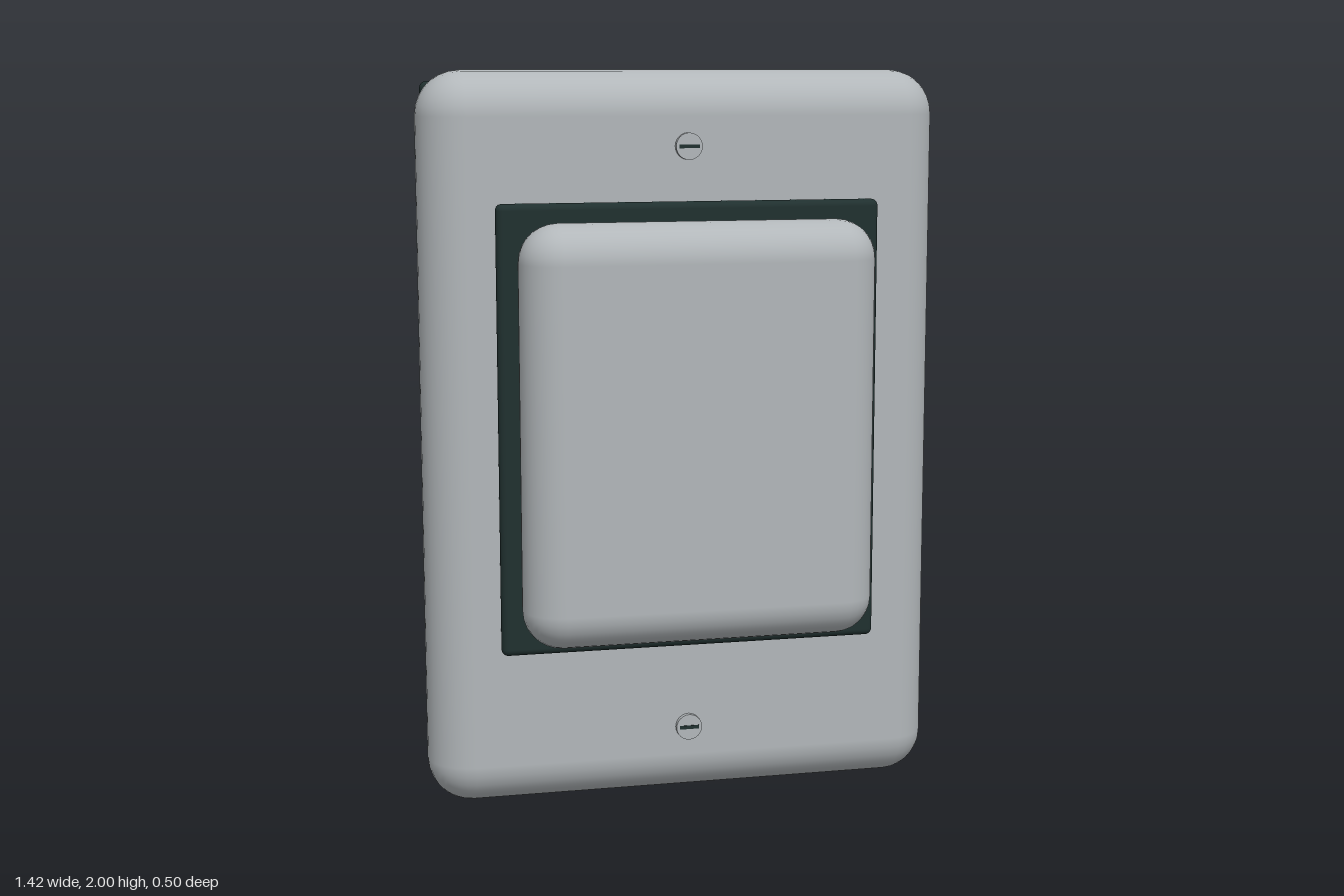
import * as THREE from 'three';
import { RoundedBoxGeometry } from 'three/addons/geometries/RoundedBoxGeometry.js';

export function createModel() {
  const model = new THREE.Group();
  model.name = 'wallSwitch';

  const gray = new THREE.MeshStandardMaterial({ color: 0xb2b7ba });
  gray.name = 'light gray';
  const dark = new THREE.MeshStandardMaterial({ color: 0x20302f });
  dark.name = 'dark green gray';

  function add(name, geometry, material, x, y, z, parent = model) {
    const mesh = new THREE.Mesh(geometry, material);
    mesh.name = name;
    mesh.position.set(x, y, z);
    parent.add(mesh);
    return mesh;
  }

  // Rounded slab given by its half width and its y and z ranges
  function slab(name, material, halfWidth, y0, y1, z0, z1, radius, segments) {
    const geometry = new RoundedBoxGeometry(2 * halfWidth, y1 - y0, z1 - z0, segments, radius);
    add(name, geometry, material, 0, (y0 + y1) / 2, (z0 + z1) / 2);
  }

  slab('wallPlate', gray, 0.711, 0, 2, -0.244, 0.019, 0.12, 4);
  slab('backGasket', dark, 0.685, 0.03, 1.97, -0.248, -0.207, 0.02, 3);
  slab('rockerFrame', dark, 0.522, 0.438, 1.655, 0.016, 0.056, 0.018, 3);
  slab('rockerButton', gray, 0.479, 0.482, 1.61, 0.034, 0.248, 0.104, 4);

  // Slotted screws above and below the rocker
  for (const [name, y] of [['topScrew', 1.8], ['bottomScrew', 0.2]]) {
    const screw = new THREE.Group();
    screw.name = name;
    screw.position.set(0, y, 0);
    model.add(screw);
    const head = new THREE.CylinderGeometry(0.036, 0.036, 0.03, 24).rotateX(Math.PI / 2);
    add('screwHead', head, gray, 0, 0, 0.018, screw);
    add('screwSlot', new THREE.BoxGeometry(0.055, 0.01, 0.006), dark, 0, 0, 0.032, screw);
  }

  return model;
}
